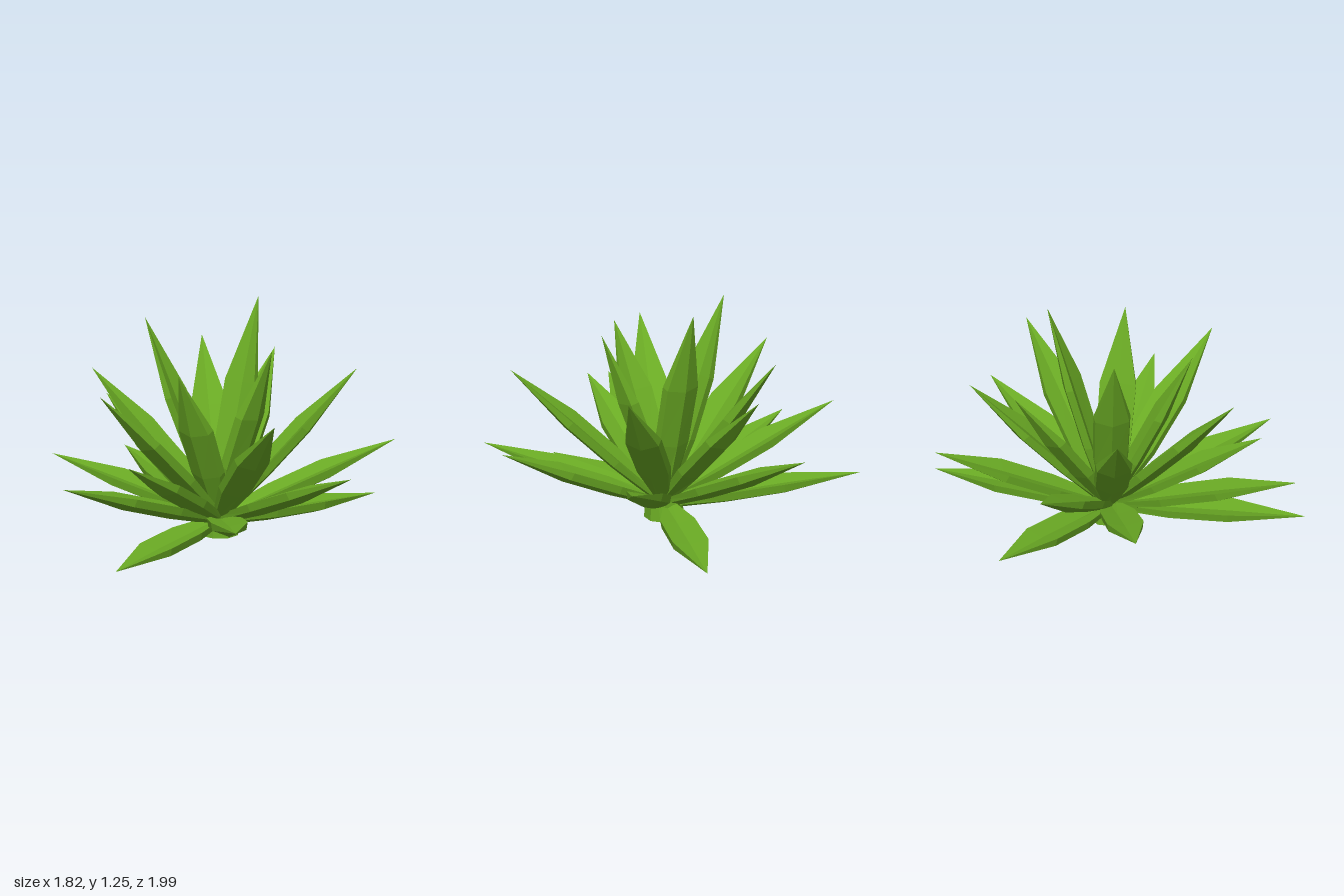
import * as THREE from 'three';

const CENTRE = [0.035, -0.04]; // x, z of the stem

// Leaf tips (x, y, z), from the top tier down to the ground tier
const TIPS = [
  [0.15, 1.25, -0.36], [-0.40, 1.16, -0.08], [0.38, 1.09, 0.10],
  [-0.05, 0.99, 0.40], [-0.25, 0.93, -0.60], [0.70, 0.89, -0.39],
  [-0.44, 0.89, 0.57], [-0.71, 0.84, -0.11], [0.10, 0.84, -0.79],
  [0.56, 0.82, 0.60], [-0.77, 0.57, -0.54], [0.86, 0.46, -0.56],
  [0.91, 0.49, 0.34], [-0.91, 0.36, -0.04], [-0.04, 0.52, -1.00],
  [-0.22, 0.56, 0.75], [-0.54, 0.45, 0.89], [0.44, 0.30, 0.90],
  [-0.21, 0.05, 0.99], [0.63, 0.04, -0.90], [-0.74, 0.22, -0.76],
];

// Unit-length leaf along +z: channelled top, thick edges, keeled underside
function leafGeometry() {
  const section = (z, w, t) => [
    [w, 0.4 * t, z], [0, 0.1 * t, z], [-w, 0.4 * t, z],
    [-0.92 * w, -0.15 * t, z], [0, -0.6 * t, z], [0.92 * w, -0.15 * t, z],
  ];
  const rings = [
    section(0, 0.035, 0.05), section(0.31, 0.095, 0.08),
    section(0.61, 0.1, 0.08), section(1, 0, 0),
  ];
  const pos = [];
  const tri = (a, b, c) => pos.push(...a, ...b, ...c);
  for (let i = 0; i < 3; i++) {
    for (let j = 0; j < 6; j++) {
      const k = (j + 1) % 6;
      const a = rings[i][j], b = rings[i][k], c = rings[i + 1][k], d = rings[i + 1][j];
      tri(a, b, c);
      if (i < 2) tri(a, c, d);
    }
  }
  // base cap
  for (let j = 0; j < 6; j++) tri([0, 0, 0], rings[0][(j + 1) % 6], rings[0][j]);
  const geo = new THREE.BufferGeometry();
  geo.setAttribute('position', new THREE.Float32BufferAttribute(pos, 3));
  geo.computeVertexNormals();
  return geo;
}

export function createModel() {
  const model = new THREE.Group();
  model.name = 'spikyPlant';
  const green = new THREE.MeshStandardMaterial({ color: 0x6aaa24, flatShading: true, side: THREE.DoubleSide });
  green.name = 'leafGreen';

  // Short hollow stem
  const stem = new THREE.Mesh(new THREE.CylinderGeometry(0.1, 0.107, 0.11, 8, 1, true), green);
  stem.name = 'stem';
  stem.position.set(CENTRE[0], 0.055, CENTRE[1]);
  model.add(stem);

  // Rosette of leaves, each aimed from the stem at its tip
  const leaves = new THREE.Group();
  leaves.name = 'leaves';
  const geo = leafGeometry();
  const up = new THREE.Vector3(0, 1, 0);
  TIPS.forEach((tip, i) => {
    const base = new THREE.Vector3(CENTRE[0], 0.095 - 0.001 * i, CENTRE[1]);
    const along = new THREE.Vector3(...tip).sub(base);
    const length = along.length();
    along.normalize();
    const across = new THREE.Vector3().crossVectors(up, along).normalize();
    const face = new THREE.Vector3().crossVectors(along, across);
    const leaf = new THREE.Mesh(geo, green);
    leaf.name = `leaf${i + 1}`;
    leaf.position.copy(base);
    leaf.quaternion.setFromRotationMatrix(new THREE.Matrix4().makeBasis(across, face, along));
    leaf.scale.z = length;
    leaves.add(leaf);
  });
  model.add(leaves);
  return model;
}
